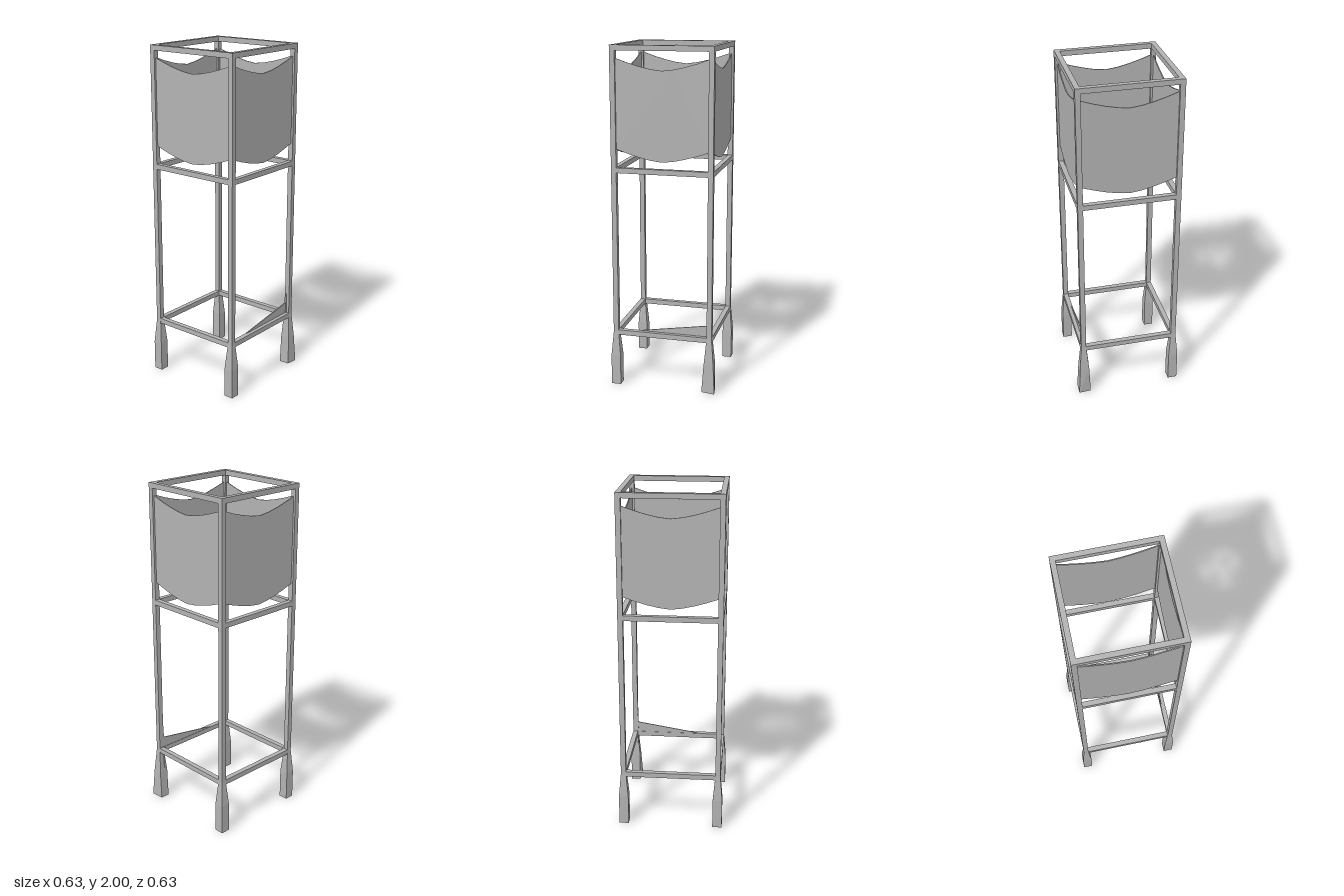
import * as THREE from 'three';

const CX = -0.006, H = 0.281, T = 0.03; // frame centre, half spacing of posts, bar thickness

// Loft through four-cornered rings [[x, y, z] * 4], listed bottom to top, with caps.
function loft(rings) {
  const pos = [];
  const quad = (a, b, c, d) => pos.push(...a, ...b, ...c, ...a, ...c, ...d);
  for (let i = 0; i < rings.length - 1; i++) {
    for (let k = 0; k < 4; k++) {
      const n = (k + 1) % 4;
      quad(rings[i][k], rings[i][n], rings[i + 1][n], rings[i + 1][k]);
    }
  }
  const [a, b, c, d] = rings[0], [e, f, g, h] = rings[rings.length - 1];
  quad(d, c, b, a);
  quad(e, f, g, h);
  const geo = new THREE.BufferGeometry();
  geo.setAttribute('position', new THREE.Float32BufferAttribute(pos, 3));
  geo.computeVertexNormals();
  return geo;
}

// Square ring: front left, front right, back right, back left.
const ring = (x, y, z, r) => [[x - r, y, z + r], [x + r, y, z + r], [x + r, y, z - r], [x - r, y, z - r]];

export function createModel() {
  const model = new THREE.Group();
  const grey = new THREE.MeshStandardMaterial({ color: 0xb3b3b3, side: THREE.DoubleSide });
  grey.name = 'grey';

  const add = (name, geo, x = 0, y = 0, z = 0) => {
    const mesh = new THREE.Mesh(geo, grey);
    mesh.name = name;
    mesh.position.set(x, y, z);
    model.add(mesh);
    return mesh;
  };

  // Posts and feet
  for (const sx of [-1, 1]) {
    for (const sz of [-1, 1]) {
      const x = CX + sx * H, z = CX + sz * H;
      add('post', new THREE.BoxGeometry(T, 1.69, T), x, 1.155, z);
      const bent = sx > 0 && sz > 0;
      const rings = bent
        ? [
          [[0.236, 0.01, 0.311], [0.313, 0.004, 0.313], [0.303, 0, 0.24], [0.247, 0, 0.24]],
          [[0.247, 0.18, 0.303], [0.303, 0.18, 0.303], [0.303, 0.18, 0.247], [0.247, 0.18, 0.247]],
          ring(x, 0.33, z, T / 2),
        ]
        : [ring(x, 0, z, 0.028), ring(x, 0.18, z, 0.028), ring(x, 0.33, z, T / 2)];
      add(bent ? 'bentFoot' : 'foot', loft(rings));
    }
  }

  // Three square rings of rails
  for (const y of [0.325, 1.3, 1.985]) {
    for (const s of [-1, 1]) {
      add('rail', new THREE.BoxGeometry(2 * H - T, T, T), CX, y, CX + s * H);
      add('rail', new THREE.BoxGeometry(T, T, 2 * H - T), CX + s * H, y, CX);
    }
  }

  // Sagging panels, open at top and bottom
  const w = H - T / 2, steps = 8, shape = new THREE.Shape();
  const sag = (u) => 0.065 * (1 - Math.pow(Math.abs(u), 1.5));
  for (let i = 0; i <= steps; i++) {
    const u = -1 + 2 * i / steps;
    if (i === 0) shape.moveTo(u * w, 1.42 - sag(u));
    else shape.lineTo(u * w, 1.42 - sag(u));
  }
  for (let i = steps; i >= 0; i--) {
    const u = -1 + 2 * i / steps;
    shape.lineTo(u * w, 1.927 - sag(u));
  }
  const panel = new THREE.ExtrudeGeometry(shape, { depth: 0.006, bevelEnabled: false });
  panel.translate(0, 0, H - 0.003);
  for (let i = 0; i < 4; i++) {
    add('hangingPanel', panel, CX, 0, CX).rotation.y = i * Math.PI / 2;
  }

  // Warped splinters at the bent corner
  const wedge = new THREE.Shape();
  wedge.moveTo(-0.18, 0.335);
  wedge.lineTo(0.262, 0.335);
  wedge.lineTo(0.262, 0.407);
  add('warpedWedge', new THREE.ExtrudeGeometry(wedge, { depth: 0.006, bevelEnabled: false }), 0, 0, 0.262);
  add('postSplinter', loft([ring(0.262, 0.34, 0.266, 0.008), ring(0.262, 0.62, 0.266, 0.001)]));
  add('footSplinter', loft([ring(0.262, 0.2, 0.25, 0.006), ring(0.264, 0.39, 0.262, 0.001)]));

  return model;
}
